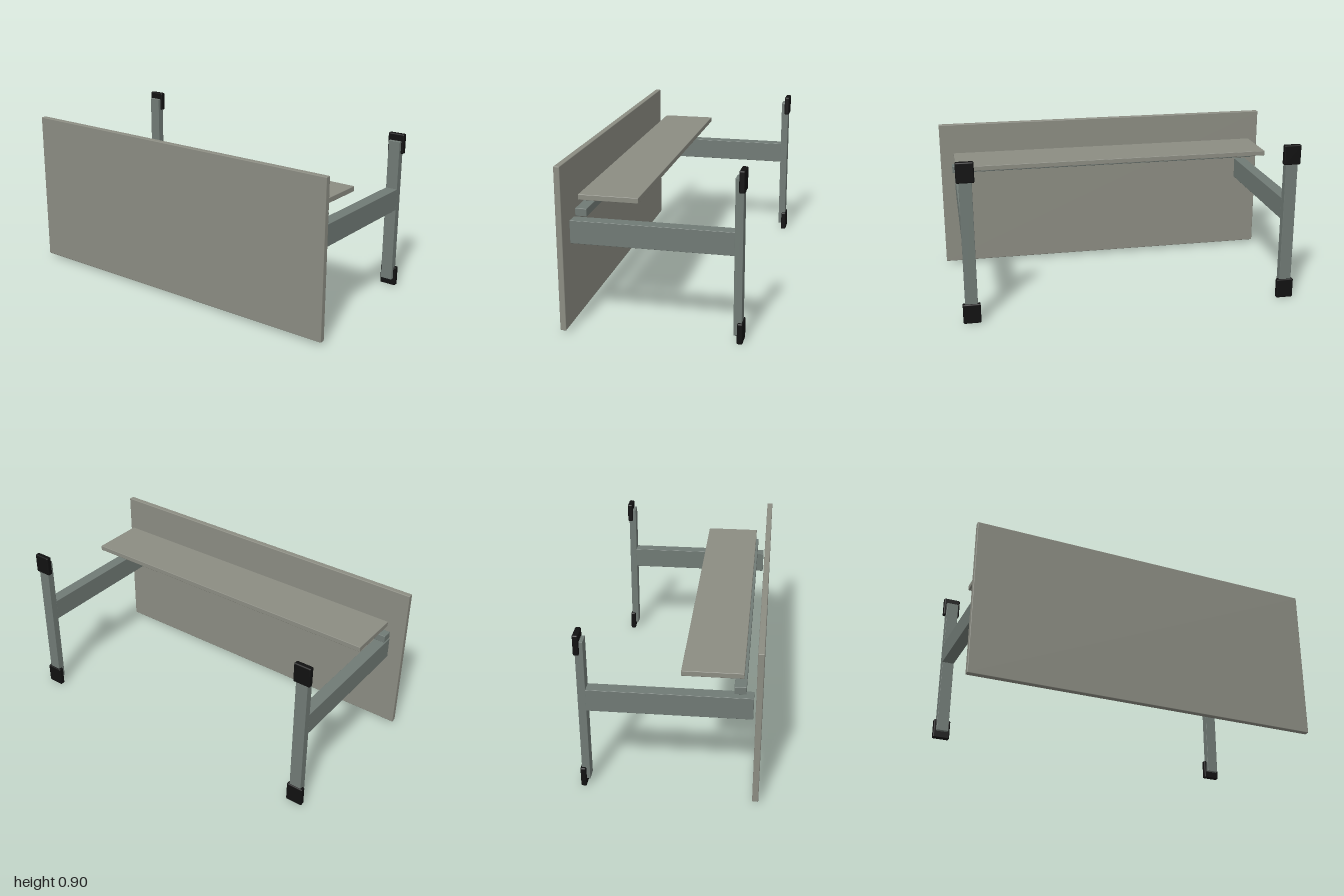
import * as THREE from 'three';
import { RoundedBoxGeometry } from 'three/addons/geometries/RoundedBoxGeometry.js';

export function createModel() {
  const model = new THREE.Group();
  model.name = 'desk';

  const board = new THREE.MeshStandardMaterial({ color: 0x8b8c82 });
  const metal = new THREE.MeshStandardMaterial({ color: 0x707a75 });
  const rubber = new THREE.MeshStandardMaterial({ color: 0x111111 });

  // Softly rounded block given by its min/max extents on each axis
  function block(parent, name, material, [x0, x1], [y0, y1], [z0, z1], radius) {
    const geometry = new RoundedBoxGeometry(x1 - x0, y1 - y0, z1 - z0, 2, radius);
    const mesh = new THREE.Mesh(geometry, material);
    mesh.name = name;
    mesh.position.set((x0 + x1) / 2, (y0 + y1) / 2, (z0 + z1) / 2);
    parent.add(mesh);
  }

  // Large panel, narrow shelf and the cross rail beneath it
  block(model, 'mainPanel', board, [-1, 1], [0.016, 0.888], [0.435, 0.467], 0.004);
  block(model, 'shelf', board, [-0.922, 0.922], [0.7, 0.729], [0.063, 0.373], 0.003);
  block(model, 'crossRail', metal, [-0.935, 0.935], [0.619, 0.66], [0.326, 0.386], 0.003);

  // T-shaped legs: long column, foot bar and two end caps on each side
  for (const side of [-1, 1]) {
    const leg = new THREE.Group();
    leg.name = side > 0 ? 'leftLeg' : 'rightLeg';
    leg.position.x = side * 0.887;
    const width = [-0.034, 0.034];
    block(leg, 'column', metal, width, [0.466, 0.588], [-0.42, 0.423], 0.002);
    block(leg, 'footBar', metal, width, [0.04, 0.862], [-0.46, -0.418], 0.002);
    for (const [name, y] of [['lowerCap', [0, 0.112]], ['upperCap', [0.79, 0.902]]]) {
      block(leg, name, rubber, [-0.048, 0.048], y, [-0.467, -0.437], 0.007);
    }
    model.add(leg);
  }

  return model;
}
